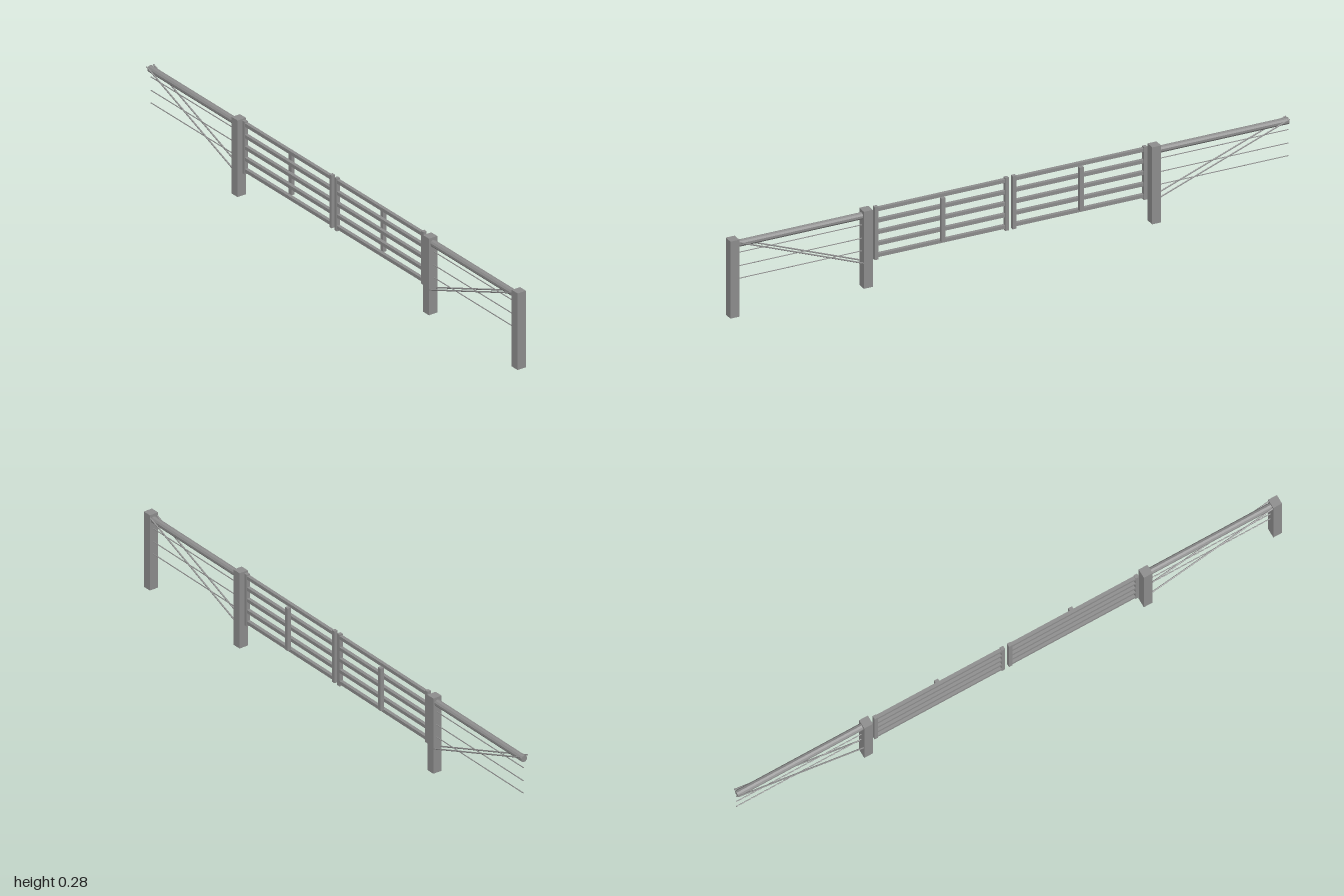
import * as THREE from 'three';

const CX = -0.0015; // fence centre line

export function createModel() {
  const group = new THREE.Group();
  const metal = new THREE.MeshStandardMaterial({ color: 0x8d8d8d, flatShading: true, side: THREE.DoubleSide });
  metal.name = 'grey metal';

  const add = (parent, name, geometry, x, y, z) => {
    const mesh = new THREE.Mesh(geometry, metal);
    mesh.name = name;
    mesh.position.set(x, y, z);
    parent.add(mesh);
    return mesh;
  };

  // Straight round bar between two points
  const bar = (parent, name, a, b, radius, sides) => {
    const dir = b.clone().sub(a);
    const mid = a.clone().add(b).multiplyScalar(0.5);
    const mesh = add(parent, name, new THREE.CylinderGeometry(radius, radius, dir.length(), sides), mid.x, mid.y, mid.z);
    mesh.quaternion.setFromUnitVectors(new THREE.Vector3(0, 1, 0), dir.normalize());
  };

  // Hollow square posts, open at the bottom
  const postGeometry = new THREE.BoxGeometry(0.033, 0.275, 0.032);
  const index = Array.from(postGeometry.index.array);
  index.splice(18, 6);
  postGeometry.setIndex(index);
  postGeometry.clearGroups();
  for (const z of [0.984, 0.507, -0.523]) add(group, 'post', postGeometry, CX, 0.1375, z);

  // Gate leaves: end stiles, five rails and a middle bar on the +x face
  for (const [z0, z1] of [[0.0, 0.479], [-0.495, -0.014]]) {
    const leaf = new THREE.Group();
    leaf.name = 'gateLeaf';
    group.add(leaf);
    const t = 0.013, mid = (z0 + z1) / 2;
    for (const z of [z0 + t / 2, z1 - t / 2])
      add(leaf, 'gateStile', new THREE.BoxGeometry(t, 0.189, t), CX, 0.1825, z);
    for (let i = 0; i < 5; i++)
      add(leaf, 'gateRail', new THREE.BoxGeometry(0.012, 0.012, z1 - z0 - 2 * t), CX, 0.102 + i * 0.041, mid);
    add(leaf, 'gateMiddleBar', new THREE.BoxGeometry(0.013, 0.155, 0.014), 0.0105, 0.1835, mid);
  }

  // Fence panels: round top rail, three wires, a diagonal brace on each side
  for (const [zGate, zEnd] of [[0.522, 0.969], [-0.538, -1.0]]) {
    const panel = new THREE.Group();
    panel.name = 'fencePanel';
    group.add(panel);
    const p = (x, y, z) => new THREE.Vector3(CX + x, y, z);
    bar(panel, 'topRail', p(0, 0.254, zGate), p(0, 0.254, zEnd), 0.0118, 10);
    for (const y of [0.223, 0.175, 0.13])
      bar(panel, 'wire', p(0.003, y, zGate), p(0.003, y, zEnd), 0.0018, 6);
    for (const s of [-1, 1])
      bar(panel, 'brace', p(s * 0.0135, 0.09, zGate), p(s * 0.0135, 0.264, zEnd), 0.0026, 6);
  }

  return group;
}
